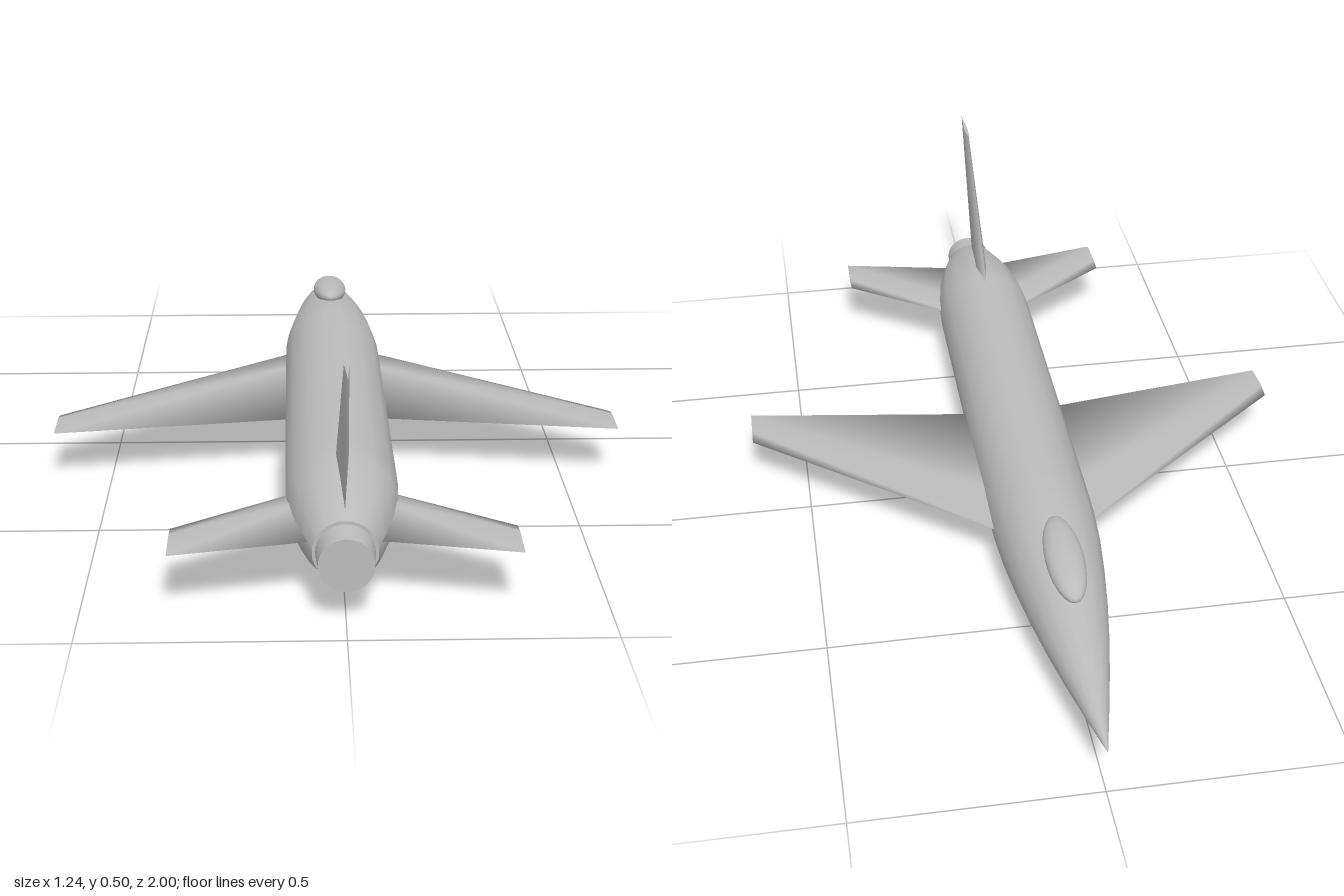
import * as THREE from 'three';

const grey = new THREE.MeshStandardMaterial({ color: 0xbcbcbc });
grey.name = 'grey';

// Skin a series of equal-length point rings, smooth along the sides, with flat end caps.
function loft(rings) {
  const n = rings[0].length;
  const pos = rings.flat(2);
  const idx = [];
  for (let i = 0; i < rings.length - 1; i++) {
    for (let j = 0; j < n; j++) {
      const a = i * n + j, b = i * n + (j + 1) % n;
      idx.push(a, b, b + n, a, b + n, a + n);
    }
  }
  const cap = (ring, flip) => {
    const base = pos.length / 3;
    ring.forEach((p) => pos.push(...p));
    for (let j = 1; j < n - 1; j++) {
      idx.push(base, base + (flip ? j + 1 : j), base + (flip ? j : j + 1));
    }
  };
  cap(rings[0], true);
  cap(rings[rings.length - 1], false);

  // Turn the faces outward if the enclosed volume comes out negative.
  const point = (i) => new THREE.Vector3().fromArray(pos, i * 3);
  let volume = 0;
  for (let i = 0; i < idx.length; i += 3) {
    volume += point(idx[i]).dot(point(idx[i + 1]).cross(point(idx[i + 2])));
  }
  if (volume < 0) idx.reverse();

  const geometry = new THREE.BufferGeometry();
  geometry.setAttribute('position', new THREE.Float32BufferAttribute(pos, 3));
  geometry.setIndex(idx);
  geometry.computeVertexNormals();
  return geometry;
}

// Diamond aerofoil with softened edges: fraction of chord, fraction of half thickness.
const foil = [[0, 0], [0.3, 1], [1, 0], [0.3, -1]];

// One surface from stations { span, lead, trail, half }; place maps (span, thickness, z).
function surface(stations, place) {
  return loft(stations.map(({ span, lead, trail, half }) =>
    foil.map(([c, t]) => place(span, t * half, lead + c * (trail - lead)))));
}

export function createModel() {
  const model = new THREE.Group();
  model.name = 'jet';
  const add = (name, geometry) => {
    const mesh = new THREE.Mesh(geometry, grey);
    mesh.name = name;
    model.add(mesh);
    return mesh;
  };

  // Fuselage: z, axis height, radius; the nose points to -z
  const sections = [
    [-1, 0.109, 0.001], [-0.9, 0.11, 0.024], [-0.8, 0.111, 0.046],
    [-0.7, 0.112, 0.066], [-0.6, 0.113, 0.083], [-0.5, 0.114, 0.097],
    [-0.4, 0.115, 0.108], [-0.3, 0.115, 0.114], [-0.2, 0.115, 0.115],
    [0.2, 0.117, 0.115], [0.6, 0.122, 0.115], [0.66, 0.122, 0.112],
    [0.74, 0.121, 0.1], [0.82, 0.119, 0.08], [0.87, 0.118, 0.064],
  ];
  const sides = 16;
  add('fuselage', loft(sections.map(([z, y, r]) =>
    Array.from({ length: sides }, (_, i) => {
      const a = ((i + 0.5) / sides) * Math.PI * 2;
      return [r * Math.cos(a), y + r * Math.sin(a), z];
    }))));

  // Exhaust nozzle
  const nozzle = add('nozzle', new THREE.CylinderGeometry(0.053, 0.058, 0.08, 32).rotateX(Math.PI / 2));
  nozzle.position.set(0, 0.118, 0.89);

  // Canopy bubble, leaning down with the nose
  const canopy = add('canopy', new THREE.SphereGeometry(1, 24, 16).scale(0.041, 0.027, 0.127));
  canopy.position.set(0, 0.213, -0.543);
  canopy.rotation.x = -0.1;

  // Mirrored wings and tailplanes
  for (const [side, label] of [[1, 'left'], [-1, 'right']]) {
    add(label + 'Wing', surface([
      { span: 0.05, lead: -0.35, trail: 0.148, half: 0.0155 },
      { span: 0.622, lead: 0.12, trail: 0.234, half: 0.006 },
    ], (s, t, z) => [side * s, 0.116 + t, z]));

    add(label + 'Tailplane', surface([
      { span: 0.03, lead: 0.566, trail: 0.838, half: 0.012 },
      { span: 0.333, lead: 0.78, trail: 0.903, half: 0.005 },
    ], (s, t, z) => [side * s, 0.129 + t, z]));
  }

  // Upright tail fin
  add('tailFin', surface([
    { span: 0.15, lead: 0.48, trail: 0.82, half: 0.015 },
    { span: 0.504, lead: 0.877, trail: 1, half: 0.005 },
  ], (s, t, z) => [t, s, z]));

  return model;
}
